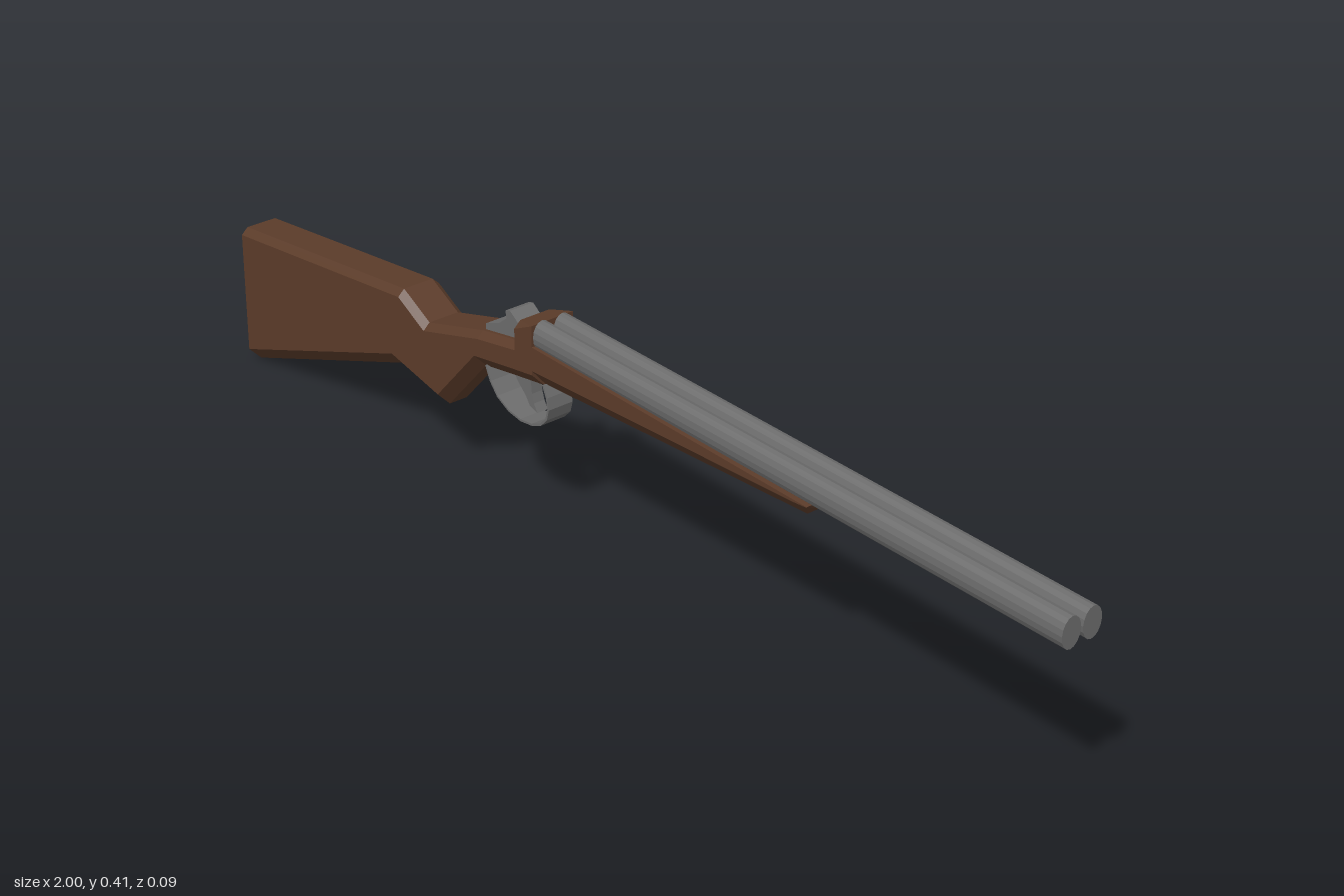
import * as THREE from 'three';

const wood = new THREE.MeshStandardMaterial({ color: 0x5c3c2a, flatShading: true });
const steel = new THREE.MeshStandardMaterial({ color: 0x6c6c6c, flatShading: true });

// Eight-sided section: top and bottom points with their own chamfers (inset, drop).
function section({ top, bottom, w = 0.043, tc = [0.013, 0.012], bc = [0.025, 0.026] }) {
  const [tx, ty] = top, [bx, by] = bottom;
  const half = [
    [tx, ty, w - tc[0]], [tx, ty - tc[1], w],
    [bx, by + bc[1], w], [bx, by, w - bc[0]],
  ];
  const mirrored = half.map(([x, y, z]) => [x, y, -z]).reverse();
  return [...half, ...mirrored];
}

// Skin between sections running towards +x, closed at both ends.
function loft(sections) {
  const rings = sections.map(section);
  const n = 8, index = [];
  for (let i = 0; i < rings.length - 1; i++) {
    for (let j = 0; j < n; j++) {
      const a = i * n + j, b = i * n + (j + 1) % n;
      index.push(a, b, b + n, a, b + n, a + n);
    }
  }
  const last = (rings.length - 1) * n;
  for (let j = 1; j < n - 1; j++) {
    index.push(0, j + 1, j, last, last + j, last + j + 1);
  }
  const g = new THREE.BufferGeometry();
  g.setAttribute('position', new THREE.Float32BufferAttribute(rings.flat(2), 3));
  g.setIndex(index);
  const flat = g.toNonIndexed();
  flat.computeVertexNormals();
  return flat;
}

// Side outline extruded across z and centred.
function plate(points, width) {
  const shape = new THREE.Shape(points.map(([x, y]) => new THREE.Vector2(x, y)));
  const g = new THREE.ExtrudeGeometry(shape, { depth: width, bevelEnabled: false });
  return g.translate(0, 0, -width / 2);
}

export function createModel() {
  const model = new THREE.Group();
  const add = (name, geometry, material) => {
    const mesh = new THREE.Mesh(geometry, material);
    mesh.name = name;
    model.add(mesh);
    return mesh;
  };

  // Butt, grip and the raised block behind the barrels
  add('stock', loft([
    { top: [-1, 0.27], bottom: [-1, 0] },
    { top: [-0.52, 0.328], bottom: [-0.545, 0.172] },
    { top: [-0.45, 0.291], bottom: [-0.415, 0.146] },
    { top: [-0.3, 0.335], bottom: [-0.31, 0.262] },
    { top: [-0.2, 0.354], bottom: [-0.2, 0.281] },
    { top: [-0.2, 0.393], bottom: [-0.199, 0.281] },
    { top: [-0.155, 0.403], bottom: [-0.155, 0.288], tc: [0, 0] },
  ]), wood);

  // Tapered wood below the barrels
  add('forearm', loft([
    { top: [-0.155, 0.365], bottom: [-0.155, 0.29], tc: [0, 0], bc: [0.027, 0.032] },
    { top: [0.495, 0.359], bottom: [0.465, 0.323], tc: [0, 0.001], bc: [0.031, 0.032] },
  ]), wood);

  // Side-by-side barrels, slightly taller than wide
  for (const side of [1, -1]) {
    const g = new THREE.CylinderGeometry(1, 1, 1.155, 16);
    g.rotateZ(Math.PI / 2).scale(1, 0.027, 0.019);
    const barrel = add(side > 0 ? 'leftBarrel' : 'rightBarrel', g, steel);
    barrel.position.set(0.4225, 0.38, side * 0.021);
  }

  // Thumb lever on top of the grip
  add('topLever', plate([
    [-0.3, 0.328], [-0.2, 0.345], [-0.2, 0.365], [-0.212, 0.378],
    [-0.235, 0.394], [-0.247, 0.39], [-0.245, 0.376], [-0.265, 0.36], [-0.3, 0.346],
  ], 0.048), steel);

  // Guard strap: a thin band following a curve
  const strap = new THREE.CatmullRomCurve3([
    [-0.302, 0.268], [-0.28, 0.228], [-0.232, 0.204], [-0.18, 0.206],
    [-0.146, 0.226], [-0.137, 0.258], [-0.15, 0.292],
  ].map(([x, y]) => new THREE.Vector3(x, y, 0)));
  const inner = [], outer = [];
  for (let i = 0; i <= 10; i++) {
    const p = strap.getPoint(i / 10), t = strap.getTangent(i / 10);
    outer.push([p.x + t.y * 0.002, p.y - t.x * 0.002]);
    inner.unshift([p.x - t.y * 0.002, p.y + t.x * 0.002]);
  }
  add('triggerGuard', plate([...outer, ...inner], 0.05), steel);

  // Hooked trigger
  add('trigger', plate([
    [-0.25, 0.282], [-0.235, 0.262], [-0.213, 0.242], [-0.203, 0.228],
    [-0.183, 0.222], [-0.192, 0.236], [-0.197, 0.252], [-0.2, 0.285],
  ], 0.022), steel);

  return model;
}
